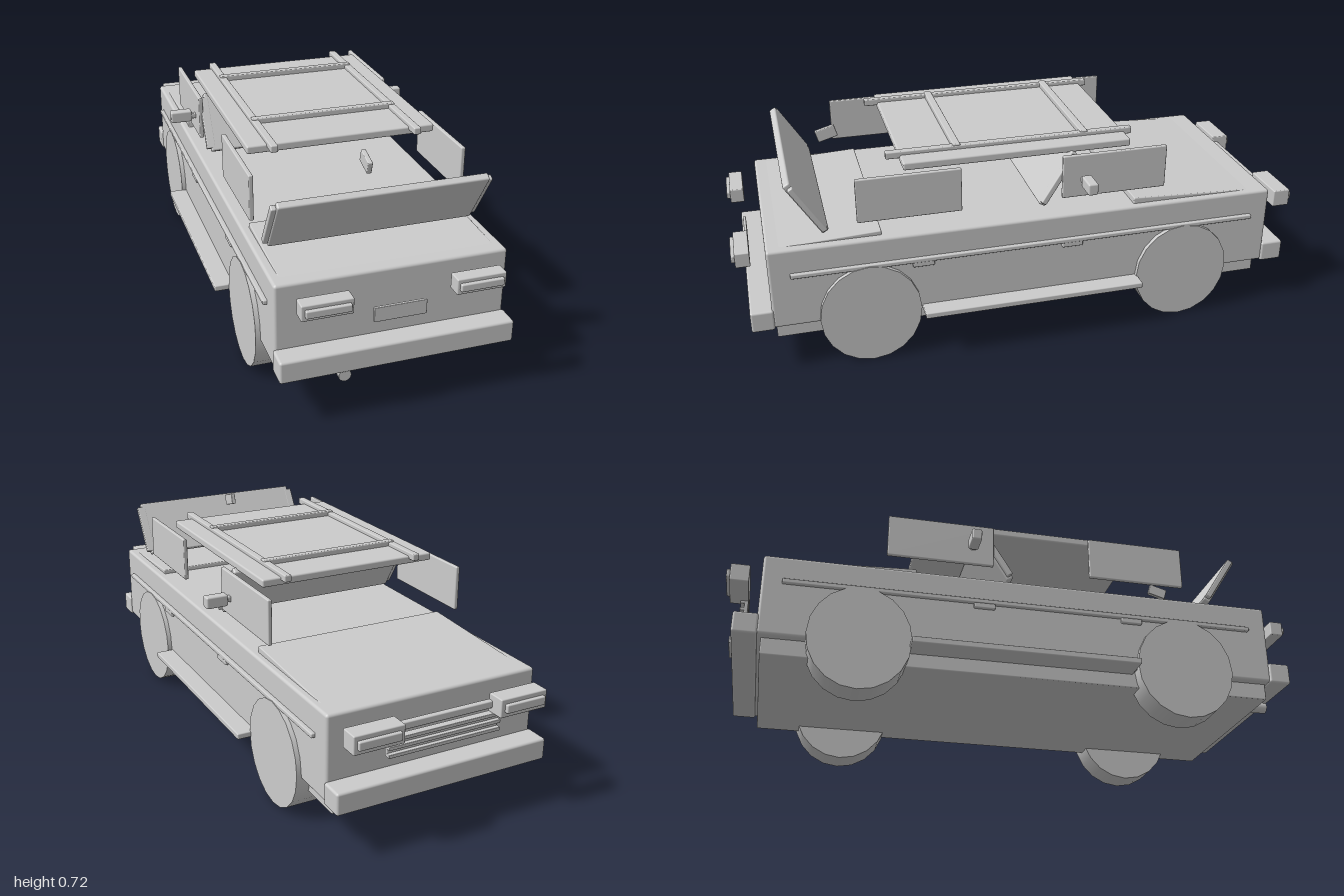
import * as THREE from 'three';
import { RoundedBoxGeometry } from 'three/addons/geometries/RoundedBoxGeometry.js';

const grey = new THREE.MeshStandardMaterial({ color: 0xcccccc });

export function createModel() {
  const car = new THREE.Group();
  car.name = 'car';

  const add = (name, geometry, x, y, z, rx = 0) => {
    const mesh = new THREE.Mesh(geometry, grey);
    mesh.name = name;
    mesh.position.set(x, y, z);
    mesh.rotation.x = rx;
    car.add(mesh);
    return mesh;
  };
  // Box given by its limits on each axis, with a small rounded edge
  const block = (name, [x0, x1], [y0, y1], [z0, z1], r = 0.004) => {
    const w = x1 - x0, h = y1 - y0, d = z1 - z0;
    const geo = new RoundedBoxGeometry(w, h, d, 2, Math.min(r, w / 3, h / 3, d / 3));
    return add(name, geo, (x0 + x1) / 2, (y0 + y1) / 2, (z0 + z1) / 2);
  };
  // The same block on both sides of the car
  const pair = (name, [x0, x1], y, z, r) => {
    block(name + 'Left', [x0, x1], y, z, r);
    block(name + 'Right', [-x1, -x0], y, z, r);
  };

  // Body, chassis and bumpers
  block('body', [-0.373, 0.373], [0.17, 0.457], [-0.885, 0.89], 0.01);
  block('chassis', [-0.342, 0.342], [0.113, 0.2], [-0.868, 0.88]);
  block('rearBumper', [-0.378, 0.378], [0.166, 0.24], [0.885, 0.962], 0.008);
  block('frontBumper', [-0.378, 0.378], [0.166, 0.24], [-0.962, -0.88], 0.008);

  // Sloping bonnet and rear deck
  add('bonnet', new RoundedBoxGeometry(0.7, 0.03, 0.45, 2, 0.004), 0, 0.4525, -0.6, -0.05);
  add('rearDeck', new RoundedBoxGeometry(0.69, 0.03, 0.36, 2, 0.004), 0, 0.449, 0.69, 0.045);

  // Tilted front and rear screens with side pillars on their inner faces
  for (const [name, z, s] of [['rear', 0.747, 1], ['front', -0.1, -1]]) {
    const tilt = 0.56 * s;
    add(name + 'Screen', new RoundedBoxGeometry(0.672, 0.215, 0.026, 2, 0.006), 0, 0.579, z, tilt);
    for (const x of [-0.336, 0.336]) {
      add(name + 'ScreenPillar', new RoundedBoxGeometry(0.032, 0.19, 0.02, 2, 0.004),
        x, 0.579, z - 0.004 * s, tilt);
    }
  }

  // Side windows
  pair('frontSideWindow', [0.347, 0.362], [0.518, 0.672], [-0.48, -0.108]);
  pair('rearSideWindow', [0.347, 0.362], [0.518, 0.672], [0.24, 0.59]);

  // Roof and rack
  block('roof', [-0.323, 0.323], [0.668, 0.695], [-0.36, 0.425], 0.006);
  pair('rackRail', [0.232, 0.257], [0.684, 0.708], [-0.388, 0.472]);
  for (const z of [-0.215, 0.232]) {
    block('rackCrossbar', [-0.255, 0.255], [0.69, 0.713], [z - 0.013, z + 0.013]);
  }
  add('roofFin', new RoundedBoxGeometry(0.016, 0.042, 0.07, 2, 0.003), 0, 0.692, 0.638, 0.28);

  // Mirrors
  pair('mirrorArm', [0.355, 0.385], [0.572, 0.592], [-0.192, -0.172]);
  pair('mirror', [0.377, 0.454], [0.563, 0.604], [-0.203, -0.168], 0.006);

  // Side trim, handles and steps
  pair('sideTrim', [0.365, 0.387], [0.355, 0.371], [-0.818, 0.82]);
  for (const z of [0.38, -0.143]) {
    pair('doorHandle', [0.365, 0.385], [0.338, 0.358], [z - 0.037, z + 0.037]);
  }
  pair('sideStep', [0.33, 0.437], [0.162, 0.183], [-0.392, 0.388]);

  // Wheels
  for (const x of [-0.3365, 0.3365]) {
    for (const z of [0.565, -0.557]) {
      const geo = new THREE.CylinderGeometry(0.182, 0.182, 0.105, 20).rotateZ(Math.PI / 2);
      add('wheel', geo, x, 0.183, z).scale.z = 0.945;
    }
  }

  // Tail lights, rear plate and exhaust
  pair('tailLight', [0.161, 0.321], [0.386, 0.438], [0.94, 0.988]);
  pair('tailLens', [0.17, 0.31], [0.4, 0.425], [0.98, 1.0]);
  block('rearPlate', [-0.084, 0.084], [0.318, 0.367], [0.942, 0.952], 0.002);
  const pipe = new THREE.CylinderGeometry(0.02, 0.02, 0.11, 16).rotateX(Math.PI / 2);
  add('exhaust', pipe, -0.174, 0.153, 0.902);

  // Headlights and slatted grille
  pair('headlight', [0.17, 0.342], [0.368, 0.43], [-0.988, -0.925]);
  pair('headlightLens', [0.185, 0.33], [0.385, 0.414], [-1.0, -0.98]);
  block('grille', [-0.2, 0.2], [0.306, 0.37], [-0.938, -0.925]);
  for (let i = 0; i < 3; i++) {
    const y = 0.312 + i * 0.026;
    block('grilleSlat', [-0.2, 0.2], [y - 0.006, y + 0.006], [-0.952, -0.932], 0.002);
  }
  block('upperGrille', [-0.172, 0.172], [0.385, 0.41], [-0.945, -0.925]);

  return car;
}
